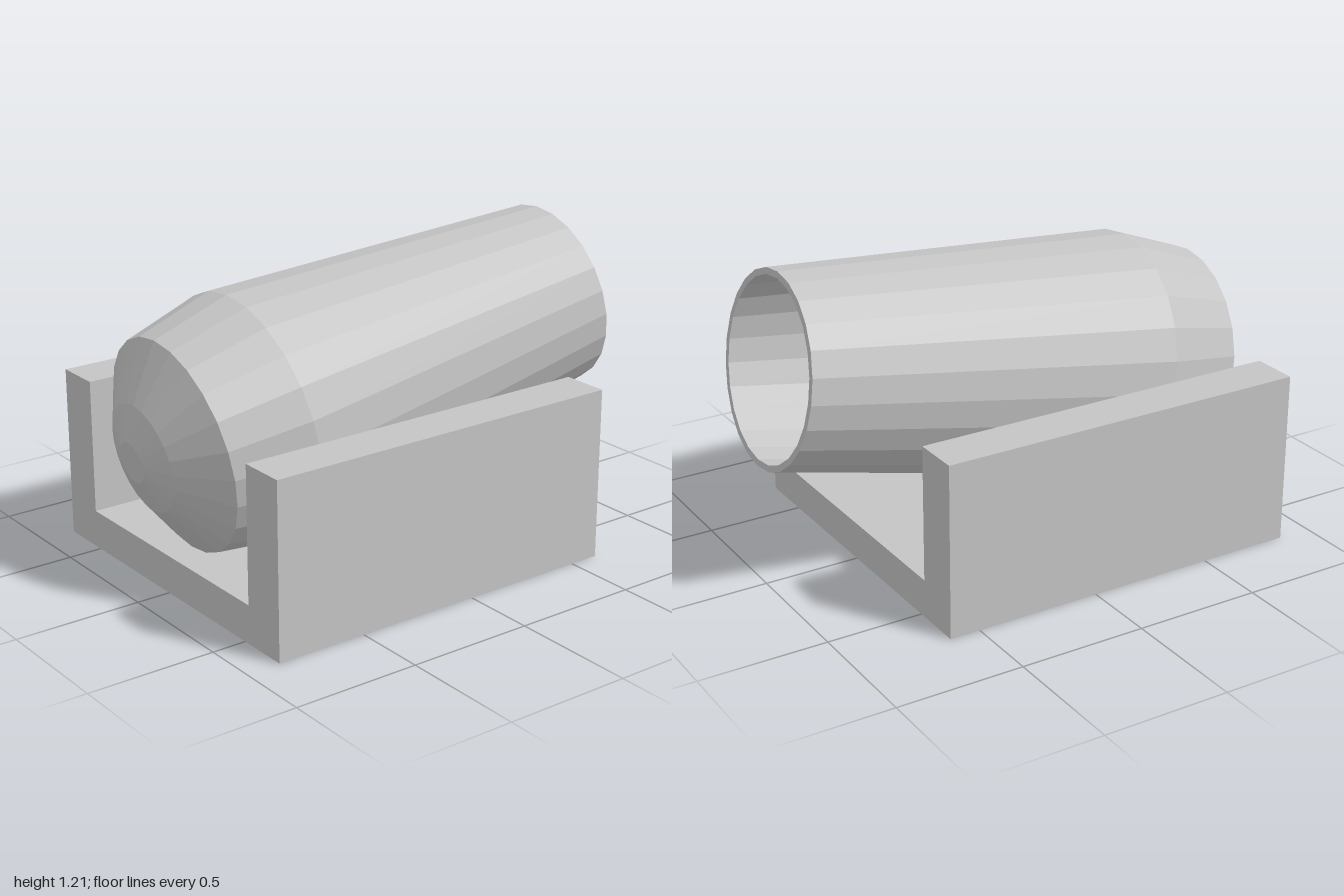
import * as THREE from 'three';

export function createModel() {
  const model = new THREE.Group();
  const grey = new THREE.MeshStandardMaterial({ color: 0xc4c4c4 });
  grey.name = 'grey';

  // U-shaped cradle: one profile extruded along z
  const profile = [
    [-0.71, 0], [0.71, 0], [0.71, 0.68], [0.525, 0.68],
    [0.525, 0.15], [-0.525, 0.15], [-0.525, 0.68], [-0.71, 0.68],
  ];
  const shape = new THREE.Shape(profile.map(([x, y]) => new THREE.Vector2(x, y)));
  const cradleGeo = new THREE.ExtrudeGeometry(shape, { depth: 1.485, bevelEnabled: false });
  cradleGeo.translate(0, 0, -0.62);
  const cradle = new THREE.Mesh(cradleGeo, grey);
  cradle.name = 'cradle';
  model.add(cradle);

  // Hollow barrel: [radius, distance from the open end], inner wall first, then outer wall
  const wall = [
    [0, 1.93], [0.07, 1.925], [0.195, 1.88], [0.395, 1.76], [0.46, 1.455], [0.345, 0],
    [0.37, 0], [0.487, 1.46], [0.42, 1.78], [0.212, 1.909], [0.08, 1.954], [0, 1.954],
  ].map(([r, t]) => new THREE.Vector2(r, t));
  const barrelGeo = new THREE.LatheGeometry(wall, 24).toNonIndexed();
  barrelGeo.rotateX(Math.PI / 2);
  barrelGeo.computeVertexNormals(); // flat facets
  const barrel = new THREE.Mesh(barrelGeo, grey);
  barrel.name = 'barrel';

  // Tilted so the open end is raised and turned slightly to the side
  barrel.position.set(0.027, 0.84, -0.943);
  barrel.lookAt(-0.02, 0.565, 0.815);
  model.add(barrel);

  return model;
}
